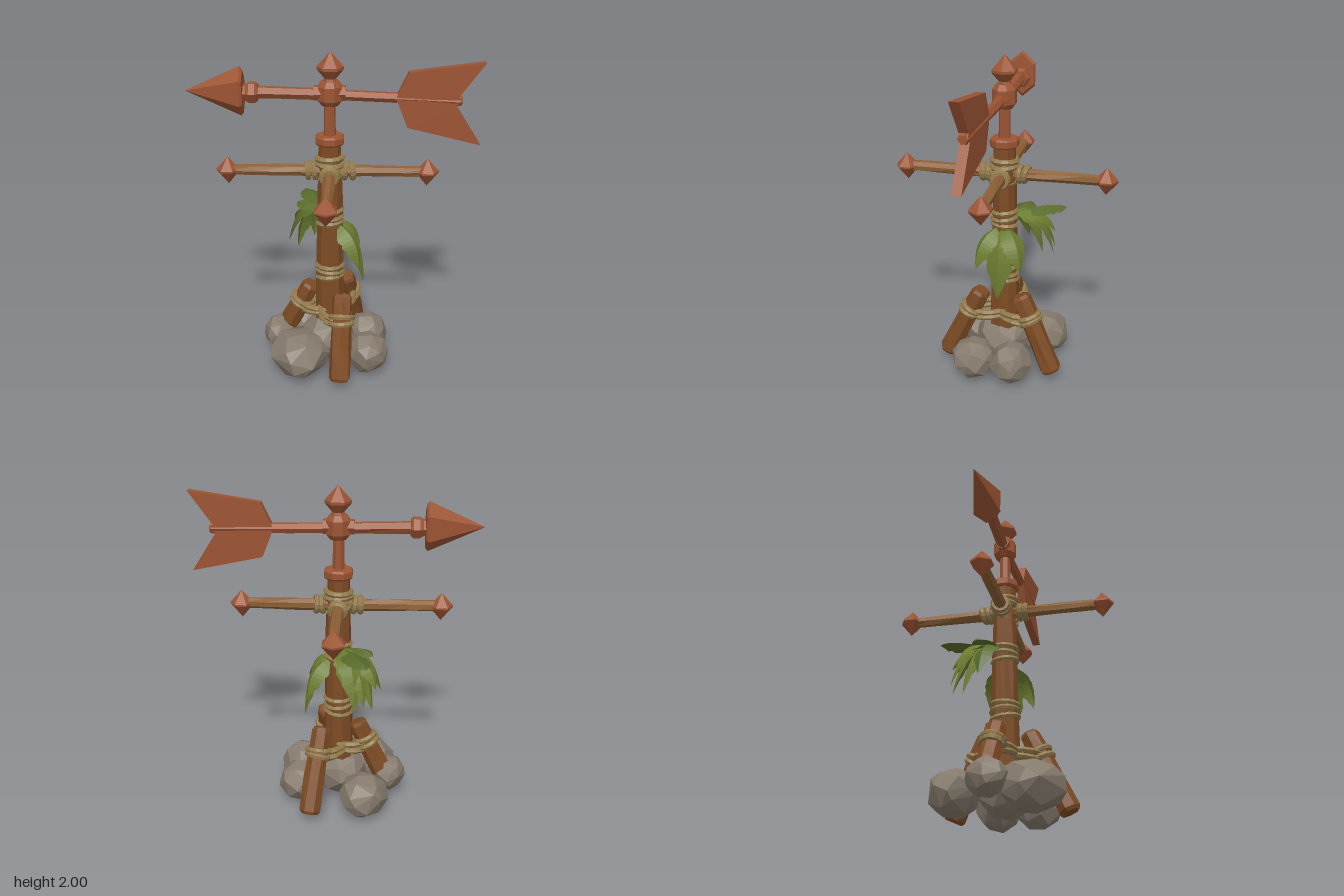
import * as THREE from 'three';
import { ConvexGeometry } from 'three/addons/geometries/ConvexGeometry.js';

const mat = (color, side = THREE.FrontSide) => new THREE.MeshStandardMaterial({ color, side, flatShading: true, roughness: 0.9 });
const V = (x, y, z) => new THREE.Vector3(x, y, z);
const UP = V(0, 1, 0);
const CX = -0.02; // the pole's axis

export function createModel() {
  const model = new THREE.Group();
  const wood = mat(0x7d4b24), paleWood = mat(0x8c6036), copper = mat(0x9c5433), rope = mat(0x927a4c);
  const stone = mat(0x857a6c), leafGreen = mat(0x6b7c30, THREE.DoubleSide), darkLeaf = mat(0x586a2b, THREE.DoubleSide);

  let seed = 7;
  const rand = () => (seed = (seed * 16807) % 2147483647) / 2147483647;

  function add(name, geometry, material, parent = model) {
    const mesh = new THREE.Mesh(geometry, material);
    mesh.name = name;
    parent.add(mesh);
    return mesh;
  }

  // Faceted turned shape: profile of [radius, distance] from a along direction
  function turned(name, a, dir, profile, sides, material, spin = 0) {
    const geo = new THREE.LatheGeometry(profile.map(([r, y]) => new THREE.Vector2(r, y)), sides);
    geo.rotateY(spin);
    const mesh = add(name, geo, material);
    mesh.position.copy(a);
    mesh.quaternion.setFromUnitVectors(UP, dir.clone().normalize());
    return mesh;
  }

  // Rough-hewn log with chamfered ends
  function log(name, a, b, r1, r2, sides, material, rough = 0.06) {
    const dir = b.clone().sub(a), L = dir.length(), c = Math.min(0.02, r1 * 0.3);
    const mesh = turned(name, a, dir, [[0, 0], [r1 * 0.8, 0], [r1, c], [r1 * 0.6 + r2 * 0.4, L * 0.4],
      [r1 * 0.25 + r2 * 0.75, L * 0.75], [r2, L - c], [r2 * 0.8, L], [0, L]], sides, material);
    const p = mesh.geometry.attributes.position;
    for (let i = 0; i < p.count; i++) {
      const t = Math.atan2(p.getX(i), p.getZ(i)), y = p.getY(i);
      const k = 1 + rough * (Math.sin(3 * t + y * 9) + Math.sin(2 * t - y * 14 + L));
      p.setXYZ(i, p.getX(i) * k, y, p.getZ(i) * k);
    }
  }

  // Several slightly tilted rope turns round an axis
  function lashing(name, center, axis, r, turns, pitch = 0.034, tilt = 0.12, stretch = 1) {
    const group = new THREE.Group();
    group.name = name;
    group.position.copy(center);
    group.quaternion.setFromUnitVectors(UP, axis.clone().normalize());
    for (let i = 0; i < turns; i++) {
      const geo = new THREE.TorusGeometry(r, 0.018, 6, 14);
      geo.rotateX(Math.PI / 2);
      geo.scale(1, 1, stretch);
      const ring = add('ropeTurn', geo, rope, group);
      ring.position.y = (i - (turns - 1) / 2) * pitch;
      ring.rotation.set((rand() - 0.5) * tilt * 2, 0, (rand() - 0.5) * tilt * 2);
    }
    model.add(group);
    return group;
  }

  // Pole and its rope bindings
  log('pole', V(CX, 0.05, 0), V(CX, 1.5, 0), 0.097, 0.066, 9, wood, 0.035);
  lashing('lowerPoleRope', V(CX, 0.65, 0), UP, 0.077, 3, 0.04);
  lashing('leafRope', V(CX, 1.015, 0), UP, 0.07, 3, 0.042, 0.2);
  lashing('upperCrossRope', V(CX, 1.365, 0), UP, 0.074, 2);
  for (const t of [-0.75, 0.75]) {
    const diagonal = lashing('crossRope', V(CX, 1.3, 0), UP, 0.078, 1);
    diagonal.rotation.set(t, 0, t * 0.6);
  }

  // Three propping legs, each tied back to the pole
  const legs = [[V(0.05, 0.06, 0.355), V(0.06, 0.54, 0.125)], [V(0.145, 0.06, -0.34), V(0.075, 0.54, -0.12)],
    [V(-0.34, 0.12, -0.06), V(-0.135, 0.535, -0.02)]];
  for (const [foot, top] of legs) {
    log('leg', foot, top, 0.066, 0.06, 7, wood, 0.04);
    const tie = foot.clone().lerp(top, 0.7);
    lashing('legRope', tie, top.clone().sub(foot), 0.064, 2, 0.036);
    const out = V(tie.x - CX, 0, tie.z);
    const loop = lashing('legTie', V(CX, 0.385, 0).addScaledVector(out, 0.4), UP, 0.085, 2, 0.034, 0.08, (out.length() * 0.45 + 0.03) / 0.085);
    loop.rotation.y = Math.atan2(out.x, out.z);
  }

  // Boulders: convex hulls of jittered points on an ellipsoid
  const rocks = [[-0.205, 0.15, 0.18, 0.185, 0.145, 0.195], [-0.185, 0.14, -0.24, 0.15, 0.14, 0.15], [-0.34, 0.175, -0.03, 0.105, 0.11, 0.12],
    [0.22, 0.14, -0.09, 0.13, 0.13, 0.13], [0.22, 0.14, 0.15, 0.13, 0.13, 0.14], [-0.03, 0.175, 0.01, 0.175, 0.155, 0.175]];
  for (const [x, y, z, rx, ry, rz] of rocks) {
    const points = [];
    for (let i = 0; i < 30; i++) {
      const h = 1 - (2 * i + 1) / 30, a = i * 2.39996 + rand() * 0.6, s = Math.sqrt(1 - h * h), k = 0.97 + rand() * 0.09;
      points.push(V(Math.cos(a) * s * rx * k, h * ry * k, Math.sin(a) * s * rz * k));
    }
    add('rock', new ConvexGeometry(points), stone).position.set(x, y, z);
  }

  // Cross arms with diamond ends
  for (const [dx, dz, end] of [[-1, 0, 0.6], [1, 0, 0.57], [0, 1, 0.6], [0, -1, 0.6]]) {
    const dir = V(dx, 0, dz), hub = V(CX, 1.3, 0);
    const at = d => hub.clone().addScaledVector(dir, d);
    log('crossArm', at(0.02), at(end), 0.037, 0.032, 7, paleWood, 0.05);
    lashing('armRope', at(0.112), dir, 0.042, 2, 0.034, 0.22);
    turned('armDiamond', at(end).setY(1.212), UP, [[0, 0], [0.068, 0.083], [0.068, 0.093], [0, 0.168]], 6, copper, dx ? Math.PI / 2 : 0);
  }

  // Copper collar, spindle, hub and finial
  turned('collar', V(CX, 1.465, 0), UP, [[0, 0], [0.08, 0], [0.088, 0.01], [0.088, 0.045], [0.078, 0.055], [0, 0.055]], 8, copper, Math.PI / 8);
  turned('spindle', V(CX, 1.5, 0), UP, [[0.036, 0], [0.03, 0.36]], 7, copper);
  turned('hub', V(CX + 0.002, 1.695, 0), UP, [[0, 0], [0.05, 0], [0.072, 0.03], [0.072, 0.11], [0.05, 0.14], [0, 0.14]], 8, copper, Math.PI / 8);
  turned('hubSleeve', V(CX - 0.09, 1.765, 0), V(1, 0, 0), [[0, 0], [0.045, 0], [0.045, 0.18], [0, 0.18]], 6, copper);
  turned('finial', V(CX + 0.003, 1.82, 0), UP, [[0, 0], [0.045, 0], [0.035, 0.03], [0.077, 0.08], [0.077, 0.095], [0, 0.18]], 6, copper, Math.PI / 6);

  // Arrow: shaft, collar, head and tail blades
  log('arrowShaftFront', V(-0.55, 1.768, -0.003), V(0, 1.757, 0), 0.037, 0.034, 6, copper, 0.03);
  log('arrowShaftRear', V(-0.05, 1.758, 0), V(0.72, 1.737, 0.04), 0.031, 0.031, 6, copper, 0.03);
  turned('arrowCollar', V(-0.425, 1.765, 0), V(-1, 0, 0), [[0, 0], [0.05, 0], [0.063, 0.015], [0.063, 0.05], [0.05, 0.07], [0.045, 0.12]], 6, copper);
  const head = turned('arrowHead', V(-0.505, 1.772, 0), V(-1, 0, 0), [[0, 0], [0.125, 0.005], [0.143, 0.02], [0, 0.335]], 6, copper, Math.PI / 2);
  head.scale.z = 0.65;
  const blades = [[[0.35, 1.745], [0.42, 1.895], [0.835, 1.955], [0.7, 1.765], [0.72, 1.745]],
    [[0.35, 1.755], [0.72, 1.735], [0.685, 1.715], [0.835, 1.488], [0.42, 1.58]]];
  for (const outline of blades) {
    const shape = new THREE.Shape(outline.map(([x, y]) => new THREE.Vector2(x, y)));
    const geo = new THREE.ExtrudeGeometry(shape, { depth: 0.052, bevelEnabled: false });
    const p = geo.attributes.position; // swing the tail a little forward
    for (let i = 0; i < p.count; i++) p.setZ(i, p.getZ(i) - 0.004 + (p.getX(i) - 0.35) * 0.05);
    add('tailBlade', geo, copper);
  }

  // Leaves: folded, notched blades that arch out and hang
  const serration = [0.15, 0.45, 0.72, 0.95, 1, 0.88, 0.96, 0.75, 0.8, 0.52, 0.3, 0];
  function leaf(base, tip, width, lift, reach, fold, material) {
    const bend = base.clone().lerp(tip, reach).setY(Math.max(base.y, tip.y) + lift);
    const curve = new THREE.QuadraticBezierCurve3(base, bend, tip);
    const side = V(-(tip.z - base.z), 0, tip.x - base.x).normalize();
    const pos = [], index = [], n = serration.length;
    serration.forEach((s, i) => {
      const t = i / (n - 1), p = curve.getPoint(t), w = s * width;
      const down = curve.getTangent(t).cross(side).normalize();
      if (down.y > 0) down.negate();
      for (const k of [-1, 0, 1]) {
        const q = p.clone().addScaledVector(side, k * w).addScaledVector(down, Math.abs(k) * w * fold);
        pos.push(q.x, q.y, q.z);
      }
      if (i) for (const k of [0, 1]) {
        const a = (i - 1) * 3 + k, b = i * 3 + k;
        index.push(a, b, a + 1, b, b + 1, a + 1);
      }
    });
    const geo = new THREE.BufferGeometry();
    geo.setAttribute('position', new THREE.Float32BufferAttribute(pos, 3));
    geo.setIndex(index);
    geo.computeVertexNormals();
    add('leaf', geo, material);
  }
  const sideLeaves = [[0.19, 0.56, 0, 0.1], [0.16, 0.73, 0.14, 0.075], [0.16, 0.74, -0.13, 0.075]];
  for (const [x, y, z, w] of sideLeaves) leaf(V(0.03, 0.97, z * 0.2), V(x, y, z), w, -0.04, 1, 0.6, leafGreen);
  const backLeaves = [[-0.28, 0.79, -0.1], [-0.23, 0.7, -0.2], [-0.13, 0.74, -0.29], [-0.19, 1.04, -0.355], [-0.25, 0.86, -0.24],
    [-0.08, 0.82, -0.23], [-0.23, 1.03, -0.14], [-0.12, 0.9, -0.3], [-0.18, 0.77, -0.29]];
  backLeaves.forEach(([x, y, z], i) => leaf(V(-0.05, 1.04, -0.05), V(x, y, z), 0.075, 0.05, 0.8, 0.45, i % 3 ? leafGreen : darkLeaf));

  return model;
}
